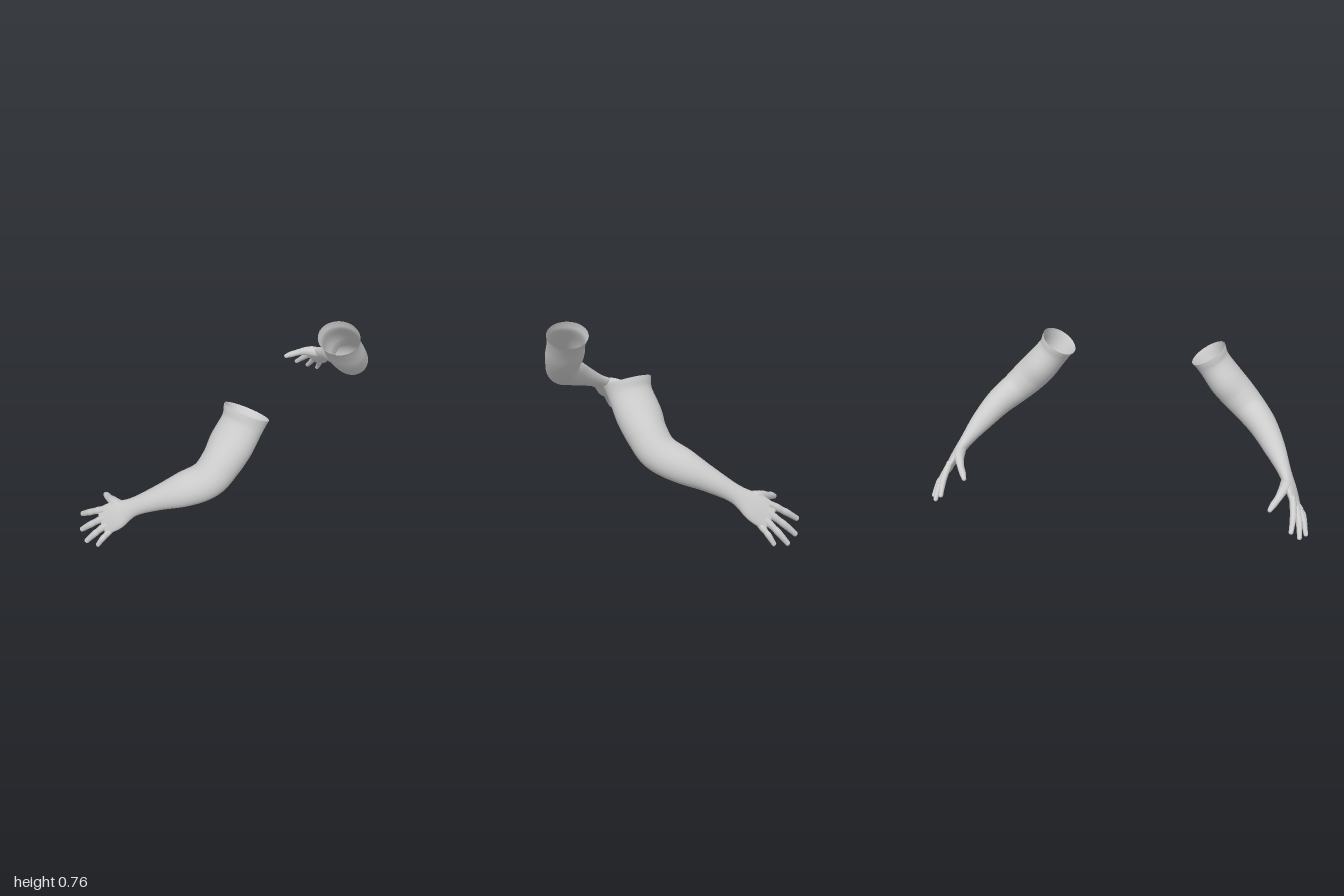
import * as THREE from 'three';

const V = (a) => new THREE.Vector3(...a);
const skin = new THREE.MeshStandardMaterial({ color: 0xcccccc, side: THREE.DoubleSide });

// Smooth skin through oval sections: p centre, w width direction, a / b half width / half thickness.
// The far end is closed with a rounded cap; side -1 mirrors across x.
function loft(sections, side, stepsPer = 6, radial = 32) {
  const curve = (pts) => new THREE.CatmullRomCurve3(pts, false, 'catmullrom', 0.5);
  const path = curve(sections.map((s) => V(s.p)));
  const size = curve(sections.map((s) => new THREE.Vector3(s.a, s.b, 0)));
  const wide = curve(sections.map((s) => V(s.w)));
  const rings = (sections.length - 1) * stepsPer;
  const cap = 6;
  const pos = [], idx = [];
  for (let i = 0; i <= rings + cap; i++) {
    const t = Math.min(i / rings, 1);
    const k = Math.max(0, i - rings) / cap * Math.PI / 2;
    const c = path.getPoint(t), r = size.getPoint(t), T = path.getTangent(t);
    const W = wide.getPoint(t);
    W.addScaledVector(T, -W.dot(T)).normalize();
    const B = T.clone().cross(W);
    c.addScaledVector(T, Math.sin(k) * r.y);
    const shrinkA = r.x - r.y * (1 - Math.cos(k)); // keeps a broad end broad
    const a = k > 1.57 ? 0 : shrinkA, b = k > 1.57 ? 0 : r.y * Math.cos(k);
    for (let j = 0; j < radial; j++) {
      const th = j / radial * Math.PI * 2;
      const q = c.clone().addScaledVector(W, a * Math.cos(th)).addScaledVector(B, b * Math.sin(th));
      pos.push(q.x * side, q.y, q.z);
      if (i === rings + cap) continue;
      const p0 = i * radial + j, p1 = i * radial + (j + 1) % radial;
      const n0 = p0 + radial, n1 = p1 + radial;
      if (side > 0) idx.push(p0, p1, n0, p1, n1, n0);
      else idx.push(p0, n0, p1, p1, n0, n1);
    }
  }
  const g = new THREE.BufferGeometry();
  g.setAttribute('position', new THREE.Float32BufferAttribute(pos, 3));
  g.setIndex(idx);
  g.computeVertexNormals();
  return g;
}

const ACROSS = [0.29, -0.59, 0.75]; // from index side to little-finger side of the hand
const BACK = V([0.84, 0.52, 0.08]); // out of the back of the hand
const Z = [0, 0, 1];

// Open upper arm, elbow, forearm, wrist and palm
const ARM = [
  { p: [0.40, 0.713, 0.275], w: Z, a: 0.117, b: 0.098 },
  { p: [0.433, 0.66, 0.272], w: Z, a: 0.107, b: 0.087 },
  { p: [0.50, 0.575, 0.258], w: Z, a: 0.110, b: 0.092 },
  { p: [0.565, 0.505, 0.248], w: [0.05, -0.1, 0.98], a: 0.098, b: 0.092 },
  { p: [0.638, 0.437, 0.220], w: [0.2, -0.35, 0.9], a: 0.092, b: 0.084 },
  { p: [0.715, 0.385, 0.138], w: ACROSS, a: 0.083, b: 0.073 },
  { p: [0.785, 0.322, 0.030], w: ACROSS, a: 0.058, b: 0.056 },
  { p: [0.845, 0.255, -0.075], w: ACROSS, a: 0.045, b: 0.034 },
  { p: [0.887, 0.195, -0.150], w: ACROSS, a: 0.068, b: 0.026 },
  { p: [0.917, 0.145, -0.212], w: ACROSS, a: 0.069, b: 0.017 },
];

// name, root knuckle, tip, radius
const FINGERS = [
  ['indexFinger', [0.898, 0.185, -0.245], [0.903, 0.088, -0.384], 0.0165],
  ['middleFinger', [0.915, 0.155, -0.220], [0.950, 0.034, -0.350], 0.0165],
  ['ringFinger', [0.927, 0.130, -0.195], [0.984, 0.013, -0.288], 0.016],
  ['littleFinger', [0.930, 0.110, -0.165], [0.980, 0.024, -0.214], 0.0145],
];

function fingerSections(root, tip, r) {
  const dir = V(tip).sub(V(root)).normalize();
  const end = V(tip).addScaledVector(dir, -r * 0.7);
  const at = (t, bend) => V(root).lerp(end, t).addScaledVector(BACK, bend).toArray();
  return [
    { p: at(-0.2, -0.003), w: ACROSS, a: r, b: r * 0.95 },
    { p: at(0.12, 0.004), w: ACROSS, a: r * 1.08, b: r * 1.05 },
    { p: at(0.32, 0.006), w: ACROSS, a: r * 0.95, b: r * 0.95 },
    { p: at(0.5, 0.008), w: ACROSS, a: r * 1.02, b: r },
    { p: at(0.76, 0.005), w: ACROSS, a: r * 0.9, b: r * 0.85 },
    { p: at(1, 0), w: ACROSS, a: r * 0.8, b: r * 0.7 },
  ];
}

const THUMB = [
  { p: [0.860, 0.235, -0.105], w: ACROSS, a: 0.026, b: 0.024 },
  { p: [0.858, 0.227, -0.165], w: ACROSS, a: 0.032, b: 0.030 },
  { p: [0.842, 0.220, -0.215], w: ACROSS, a: 0.024, b: 0.023 },
  { p: [0.824, 0.203, -0.255], w: ACROSS, a: 0.018, b: 0.018 },
  { p: [0.805, 0.188, -0.288], w: ACROSS, a: 0.018, b: 0.017 },
  { p: [0.790, 0.173, -0.315], w: ACROSS, a: 0.013, b: 0.012 },
];

// Thin oval nail on the back of a fingertip
function nail(root, tip, r, side) {
  const dir = V(tip).sub(V(root)).normalize();
  const out = BACK.clone().addScaledVector(dir, -BACK.dot(dir)).normalize();
  const c = V(tip).addScaledVector(dir, -r * 1.1).addScaledVector(out, r * 0.62);
  const g = new THREE.SphereGeometry(1, 12, 8).scale(r * 0.5, r * 0.16, r * 0.75);
  g.applyMatrix4(new THREE.Matrix4().makeBasis(out.clone().cross(dir), out, dir).setPosition(c));
  if (side < 0) {
    g.scale(-1, 1, 1);
    g.index.array.reverse();
    g.computeVertexNormals();
  }
  return g;
}

function makeArm(side) {
  const arm = new THREE.Group();
  arm.name = side > 0 ? 'leftArm' : 'rightArm';
  const add = (name, geo) => {
    const m = new THREE.Mesh(geo, skin);
    m.name = name;
    arm.add(m);
  };
  add('armAndPalm', loft(ARM, side, 6, 40));
  for (const [name, root, tip, r] of FINGERS) {
    add(name, loft(fingerSections(root, tip, r), side, 4, 20));
    add(name + 'Nail', nail(root, tip, r, side));
  }
  add('thumb', loft(THUMB, side, 4, 20));
  return arm;
}

export function createModel() {
  const model = new THREE.Group();
  model.name = 'pairOfArms';
  model.add(makeArm(1), makeArm(-1));
  return model;
}
